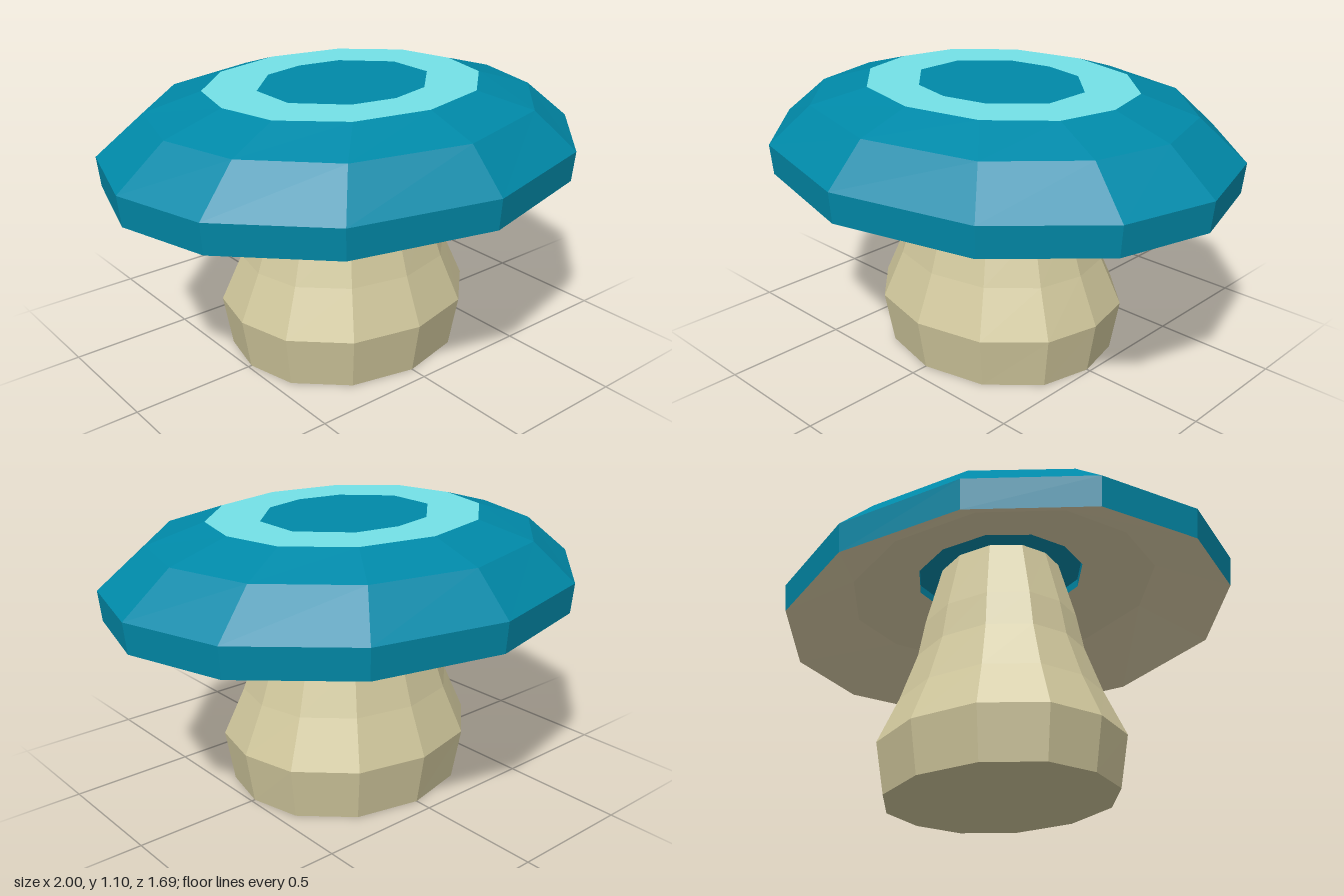
import * as THREE from 'three';

const SIDES = 12;

// Outlines from front (+z) to back (-z) on the +x half, as unit factors: cap rim and inner rings.
const rimHalf = [[0, 1], [0.565, 0.83], [0.9, 0.44], [1, 0], [0.88, -0.47], [0.52, -0.855], [0, -1]];
const evenHalf = [[0, 1], [0.535, 0.86], [0.9, 0.475], [1, 0], [0.9, -0.475], [0.535, -0.86], [0, -1]];
const mirror = (half) => [...half, ...half.slice(1, -1).reverse().map(([x, z]) => [-x, z])];
const rim = mirror(rimHalf);
const even = mirror(evenHalf);

// Faceted skin through rows of [y, radiusX, radiusZ, outline].
function loft(rows) {
  const rings = rows.map(([y, rx, rz, outline = even]) =>
    outline.map(([x, z]) => new THREE.Vector3(x * rx, y, z * rz)));
  const pos = [];
  const tri = (a, b, c) => {
    if (a.distanceTo(b) < 1e-6 || b.distanceTo(c) < 1e-6 || c.distanceTo(a) < 1e-6) return;
    for (const p of [a, b, c]) pos.push(p.x, p.y, p.z);
  };
  for (let i = 0; i < rings.length - 1; i++) {
    for (let j = 0; j < SIDES; j++) {
      const k = (j + 1) % SIDES;
      tri(rings[i][j], rings[i][k], rings[i + 1][k]);
      tri(rings[i][j], rings[i + 1][k], rings[i + 1][j]);
    }
  }
  const geometry = new THREE.BufferGeometry();
  geometry.setAttribute('position', new THREE.Float32BufferAttribute(pos, 3));
  geometry.computeVertexNormals();
  return geometry;
}

// Flat face looking up, from outline points and an optional hole.
function flatFace(points, y, hole) {
  const toVectors = (list) => list.map(([x, z]) => new THREE.Vector2(x, -z));
  const shape = new THREE.Shape(toVectors(points));
  if (hole) shape.holes.push(new THREE.Path(toVectors(hole)));
  return new THREE.ShapeGeometry(shape).rotateX(-Math.PI / 2).translate(0, y, 0);
}

export function createModel() {
  const material = (name, color) => {
    const m = new THREE.MeshStandardMaterial({ color });
    m.name = name;
    return m;
  };
  const teal = material('teal', 0x0089a8);
  const aqua = material('pale aqua', 0x74e2e8);
  const cream = material('cream', 0xd0c79c);
  const beige = material('beige', 0xd6c9a4);

  const group = new THREE.Group();
  group.name = 'mushroom';
  const add = (name, geometry, mat) => {
    const mesh = new THREE.Mesh(geometry, mat);
    mesh.name = name;
    group.add(mesh);
  };

  // Stem, flared towards the foot
  add('stem', loft([
    [0, 0, 0], [0, 0.485, 0.43], [0.21, 0.52, 0.465], [0.4, 0.435, 0.385],
    [0.6, 0.365, 0.32], [0.755, 0.335, 0.295], [1.01, 0.265, 0.235], [1.01, 0, 0],
  ]), cream);

  // Cap: rim band, two sloping bands
  add('cap', loft([
    [0.755, 0.988, 0.838, rim], [0.875, 1, 0.847, rim],
    [1.03, 0.805, 0.695, rim], [1.1, 0.565, 0.485],
  ]), teal);

  // Flat top: pale ring around a teal centre
  const edge = even.map(([x, z]) => [x * 0.565, z * 0.485]);
  const centre = [[0, 0.3], [0.18, 0.26], [0.345, 0.1], [0.345, -0.1], [0.18, -0.26], [0, -0.295],
    [-0.18, -0.26], [-0.345, -0.1], [-0.345, 0.1], [-0.18, 0.26]];
  add('capRing', flatFace(edge, 1.1, centre), aqua);
  add('capCentre', flatFace(centre, 1.1), teal);

  // Underside: hollow gills and the pocket round the stem
  add('gills', loft([
    [0.995, 0.37, 0.33], [0.92, 0.68, 0.58], [0.755, 0.988, 0.838, rim],
  ]), beige);
  add('stemPocket', loft([[1.03, 0, 0], [1.03, 0.37, 0.33], [0.995, 0.37, 0.33]]), teal);

  return group;
}
